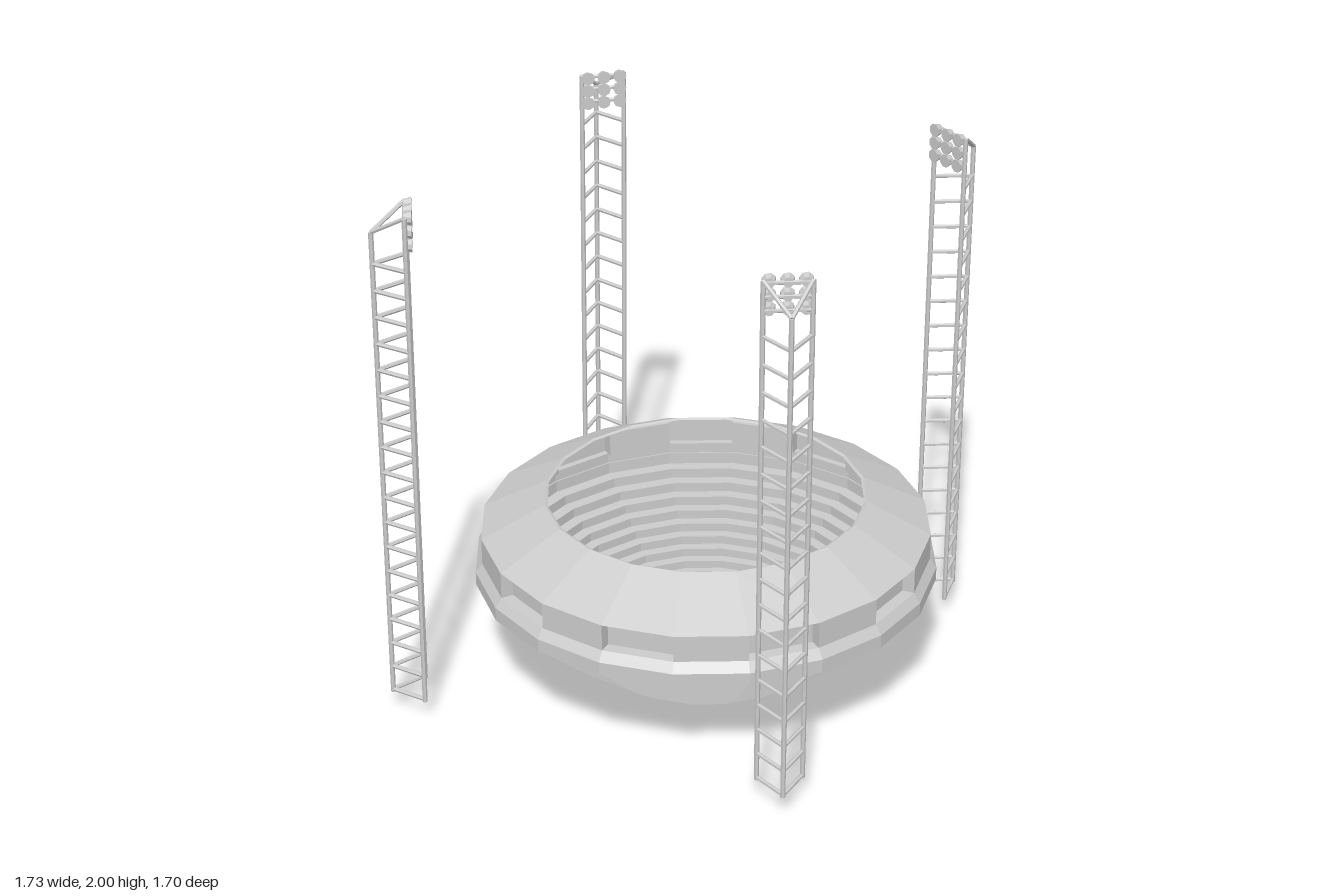
import * as THREE from 'three';

const SIDES = 20;
const STEP = (Math.PI * 2) / SIDES;
const grey = new THREE.MeshStandardMaterial({ color: 0xcccccc, flatShading: true, side: THREE.DoubleSide });

function add(parent, name, geometry) {
  const mesh = new THREE.Mesh(geometry, grey);
  mesh.name = name;
  parent.add(mesh);
  return mesh;
}

// Revolves [radius, height] pairs around the bowl axis
function ring(points, segments = SIDES, start = 0, length = Math.PI * 2) {
  return new THREE.LatheGeometry(points.map(([r, y]) => new THREE.Vector2(r, y)), segments, start, length);
}

// Round bar between two points
function bar(parent, name, a, b, radius) {
  const dir = b.clone().sub(a);
  const mesh = add(parent, name, new THREE.CylinderGeometry(radius, radius, dir.length(), 6));
  mesh.position.copy(a).add(b).multiplyScalar(0.5);
  mesh.quaternion.setFromUnitVectors(new THREE.Vector3(0, 1, 0), dir.normalize());
}

function createBowl() {
  const bowl = new THREE.Group();
  bowl.name = 'bowl';
  add(bowl, 'field', new THREE.CylinderGeometry(0.3, 0.295, 0.022, SIDES)).position.y = 0.011;

  // Stepped seating rows, rising more steeply towards the rim
  const rows = 12;
  const rowHeight = (i) => 0.018 + 0.0255 * i + 0.00056 * i * i;
  const rowInner = (i) => 0.3 + 0.034 * i + 0.0006 * i * i;
  for (let i = 0; i < rows; i++) {
    const inner = rowInner(i), outer = 0.36 + 0.04 * i;
    const y0 = rowHeight(i), y1 = rowHeight(i + 1);
    add(bowl, 'seatingRow', ring([[inner, y0], [outer, y0], [outer, y1], [inner, y1], [inner, y0]]));
  }

  // Last row forms the outer rim; sloped roof above the windows
  const rimInner = rowInner(rows), rimY = rowHeight(rows);
  add(bowl, 'rim', ring([
    [rimInner, rimY], [0.85, rimY], [0.85, 0.455], [0.825, 0.49], [0.8, 0.49], [0.8, 0.45], [rimInner, 0.45], [rimInner, rimY],
  ]));
  add(bowl, 'roof', ring([[0.825, 0.59], [0.59, 0.71], [0.58, 0.705]]));

  // Window band: plain and recessed panels alternate
  const face = 0.825, back = 0.78, y0 = 0.49, y1 = 0.59;
  for (let i = 0; i < SIDES; i++) {
    const open = i % 2 === 0;
    const profile = open ? [[face, y0], [back, y0], [back, y1], [face, y1]] : [[face, y0], [face, y1]];
    add(bowl, open ? 'windowRecess' : 'wallPanel', ring(profile, 1, i * STEP, STEP));
    // Radial jamb on each window edge
    const jamb = add(bowl, 'windowJamb', new THREE.PlaneGeometry(face - back, y1 - y0));
    const a = i * STEP, r = (face + back) / 2;
    jamb.position.set(r * Math.sin(a), (y0 + y1) / 2, r * Math.cos(a));
    jamb.rotation.y = a - Math.PI / 2;
  }
  bowl.position.set(0.005, 0, -0.01);
  return bowl;
}

// Three-legged lattice mast; x, z is the middle of its inner face at the top,
// outX, outZ the direction away from the field, leanX, leanZ the drift over its height
function createTower(x, z, outX, outZ, leanX, leanZ) {
  const tower = new THREE.Group();
  tower.name = 'floodlightTower';
  const bottom = 0.075, top = 1.98, outerTop = 1.9;
  const out = new THREE.Vector3(outX, 0, outZ).normalize();
  const side = new THREE.Vector3(out.z, 0, -out.x);
  const leg = (s, o, y) => {
    const k = (top - y) / (top - bottom);
    return new THREE.Vector3(x - leanX * k, y, z - leanZ * k).addScaledVector(side, s).addScaledVector(out, o);
  };
  const half = 0.08, depth = 0.115;

  for (const s of [-half, half]) bar(tower, 'innerLeg', leg(s, 0, bottom), leg(s, 0, top), 0.009);
  bar(tower, 'outerLeg', leg(0, depth, bottom), leg(0, depth, outerTop), 0.009);

  // Rungs on the two outward sides
  for (let i = 0; i < 18; i++) {
    const y = bottom + 0.01 + i * 0.1;
    for (const s of [-half, half]) bar(tower, 'rung', leg(s, 0, y), leg(0, depth, y), 0.008);
  }
  for (const s of [-half, half]) bar(tower, 'topBrace', leg(s, 0, top), leg(0, depth, outerTop), 0.008);

  // Three by three bank of lamps facing the field
  for (let row = 0; row < 3; row++) {
    const y = 1.875 + row * 0.049;
    bar(tower, 'lampRail', leg(-half, 0, y), leg(half, 0, y), 0.008);
    for (let col = -1; col <= 1; col++) {
      const lamp = add(tower, 'lamp', new THREE.CylinderGeometry(0.025, 0.018, 0.026, 8));
      lamp.position.copy(leg(col * 0.06, -0.01, y));
      lamp.quaternion.setFromUnitVectors(new THREE.Vector3(0, 1, 0), out.clone().negate());
    }
  }
  return tower;
}

export function createModel() {
  const model = new THREE.Group();
  model.name = 'stadium';
  model.add(createBowl());
  model.add(
    createTower(-0.735, -0.665, -0.65, -0.76, 0.03, 0.015),
    createTower(-0.74, 0.757, -0.85, 0.5, 0.025, 0.015),
    createTower(0.645, 0.72, 0.5, 0.86, 0.015, 0.02),
    createTower(0.645, -0.68, 0.45, -0.9, 0.015, 0.03)
  );
  return model;
}
